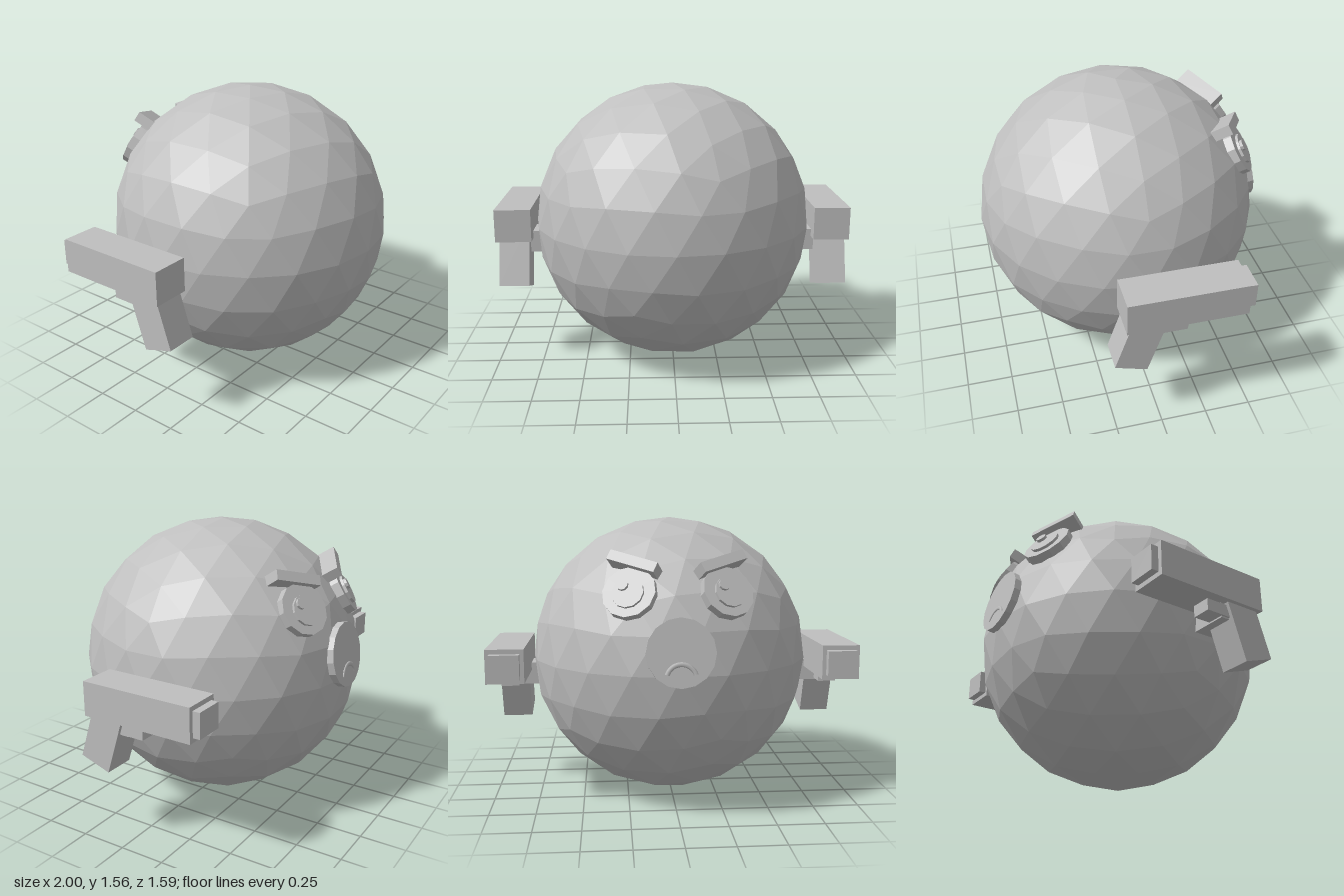
import * as THREE from 'three';

const grey = new THREE.MeshStandardMaterial({ color: 0xbfbfbf });
grey.name = 'plain grey';

const CENTER = new THREE.Vector3(0, 0.783, 0.013);
const RADIUS = 0.782;

// Faceted ball with a vertex at each pole
function ballGeometry() {
  const v = [0, 1, 0], f = [], h = Math.sqrt(0.2), r = 2 * h;
  for (const [start, y] of [[0, h], [Math.PI / 5, -h]]) {
    for (let k = 0; k < 5; k++) {
      const a = start + k * Math.PI * 0.4;
      v.push(r * Math.cos(a), y, -r * Math.sin(a));
    }
  }
  v.push(0, -1, 0);
  for (let k = 0; k < 5; k++) {
    const n = (k + 1) % 5, u = 1 + k, u2 = 1 + n, l = 6 + k, l2 = 6 + n;
    f.push(0, u, u2, u, l, u2, l, l2, u2, 11, l2, l);
  }
  const g = new THREE.PolyhedronGeometry(v, f, RADIUS, 3);
  g.computeVertexNormals(); // unshared corners give flat facets
  return g;
}

function add(parent, name, geometry, x = 0, y = 0, z = 0) {
  const m = new THREE.Mesh(geometry, grey);
  m.name = name;
  m.position.set(x, y, z);
  parent.add(m);
  return m;
}

// Box given by its minimum and maximum corners
function block(parent, name, [x0, y0, z0], [x1, y1, z1]) {
  return add(parent, name, new THREE.BoxGeometry(x1 - x0, y1 - y0, z1 - z0),
    (x0 + x1) / 2, (y0 + y1) / 2, (z0 + z1) / 2);
}

// Disc lying across local z, from height z0 to z1
function disc(parent, name, r, z0, z1, sides, x = 0, y = 0) {
  const g = new THREE.CylinderGeometry(r, r, z1 - z0, sides).toNonIndexed();
  g.rotateX(Math.PI / 2);
  g.computeVertexNormals();
  return add(parent, name, g, x, y, (z0 + z1) / 2);
}

// Group at the ball's centre whose local z points outward along a direction
function facing(name, x, y, z) {
  const g = new THREE.Group();
  g.name = name;
  g.position.copy(CENTER);
  g.lookAt(new THREE.Vector3(x, y, z).add(CENTER));
  return g;
}

function eye(side) {
  const g = facing(side > 0 ? 'leftEye' : 'rightEye', 0.25 * side, 0.41, -0.64);
  disc(g, 'eyeWhite', 0.14, 0.7, 0.805, 12);
  disc(g, 'iris', 0.083, 0.8, 0.82, 12, 0, -0.01);
  disc(g, 'glint', 0.03, 0.81, 0.835, 10, -0.03, 0.025);
  // Angry brow, lower at the nose
  const brow = add(g, 'brow', new THREE.BoxGeometry(0.27, 0.055, 0.11), 0, 0.155, 0.785);
  brow.rotation.z = -0.265 * side;
  return g;
}

function mouth() {
  const g = facing('mouth', 0, 0.122, -0.78);
  disc(g, 'mouthDisc', 0.175, 0.74, 0.79, 16);
  // Downturned lip, a thin raised arc
  const lip = add(g, 'frown', new THREE.TorusGeometry(0.075, 0.012, 6, 12, Math.PI * 0.8), 0, -0.13, 0.79);
  lip.rotation.z = Math.PI * 0.1;
  lip.scale.z = 0.5;
  return g;
}

function blaster(side) {
  const g = new THREE.Group();
  g.name = side > 0 ? 'leftBlaster' : 'rightBlaster';
  const lo = (a, b) => (side > 0 ? a : -b);
  const hi = (a, b) => (side > 0 ? b : -a);
  const part = (name, [xa, xb], [ya, yb], [za, zb]) =>
    block(g, name, [lo(xa, xb), ya, za], [hi(xa, xb), yb, zb]);
  part('gunBody', [0.797, 1], [0.695, 0.88], [-0.435, 0.2]);
  part('muzzle', [0.818, 0.976], [0.72, 0.855], [-0.475, -0.43]);
  part('arm', [0.65, 0.95], [0.615, 0.737], [-0.033, 0.12]);
  part('trigger', [0.86, 0.96], [0.623, 0.685], [-0.128, 0.05]);
  // Slanted grip
  const grip = add(g, 'grip', new THREE.BoxGeometry(0.166, 0.36, 0.179), 0.895 * side, 0.599, 0.115);
  grip.rotation.x = -0.313;
  return g;
}

export function createModel() {
  const model = new THREE.Group();
  model.name = 'angryBall';
  add(model, 'body', ballGeometry(), CENTER.x, CENTER.y, CENTER.z);
  for (const side of [1, -1]) model.add(eye(side), blaster(side));
  model.add(mouth());
  return model;
}
